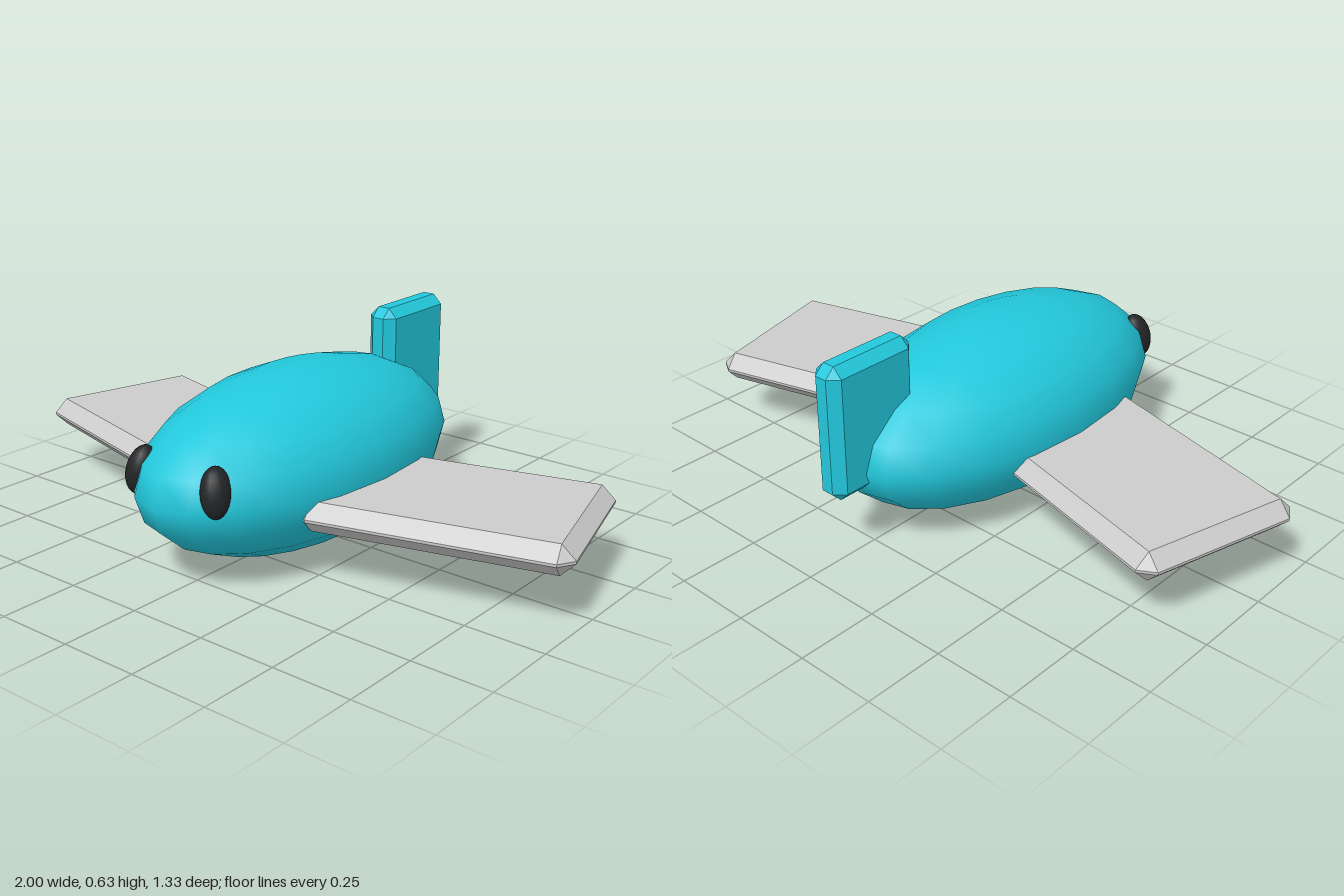
import * as THREE from 'three';
import { ConvexGeometry } from 'three/addons/geometries/ConvexGeometry.js';

const teal = new THREE.MeshStandardMaterial({ color: 0x22c8dc });
const grey = new THREE.MeshStandardMaterial({ color: 0xcccccc });
const dark = new THREE.MeshStandardMaterial({ color: 0x222426 });

// Box with every edge and corner cut flat by `bevel`
function chamferedBox(width, height, depth, bevel) {
  const half = [width / 2, height / 2, depth / 2];
  const points = [];
  for (const sx of [-1, 1]) for (const sy of [-1, 1]) for (const sz of [-1, 1]) {
    for (let full = 0; full < 3; full++) {
      const c = [sx, sy, sz].map((s, i) => s * (half[i] - (i === full ? 0 : bevel)));
      points.push(new THREE.Vector3(...c));
    }
  }
  return new ConvexGeometry(points);
}

export function createModel() {
  const model = new THREE.Group();
  model.name = 'birdPlane';

  function add(name, geometry, material, x, y, z) {
    const mesh = new THREE.Mesh(geometry, material);
    mesh.name = name;
    mesh.position.set(x, y, z);
    model.add(mesh);
    return mesh;
  }

  // Egg-shaped body, long in z
  const body = add('body', new THREE.SphereGeometry(1, 20, 10), teal, 0, 0.273, 0.043);
  body.scale.set(0.333, 0.273, 0.623);

  // Upright tail fin
  add('tailFin', chamferedBox(0.1, 0.42, 0.312, 0.03), teal, 0, 0.423, -0.511);

  const wingGeometry = chamferedBox(0.8, 0.092, 0.544, 0.042);
  const eyeGeometry = new THREE.SphereGeometry(1, 16, 12);
  for (const [side, s] of [['left', 1], ['right', -1]]) {
    // Swept-back wing
    const wing = add(side + 'Wing', wingGeometry, grey, s * 0.556, 0.212, 0);
    wing.rotation.y = s * Math.PI / 12;

    // Eye, leaning with the curve of the head
    const eye = add(side + 'Eye', eyeGeometry, dark, s * 0.143, 0.328, 0.566);
    eye.scale.set(0.042, 0.074, 0.046);
    eye.rotation.set(-0.2, 0, s * 0.18);
  }
  return model;
}
